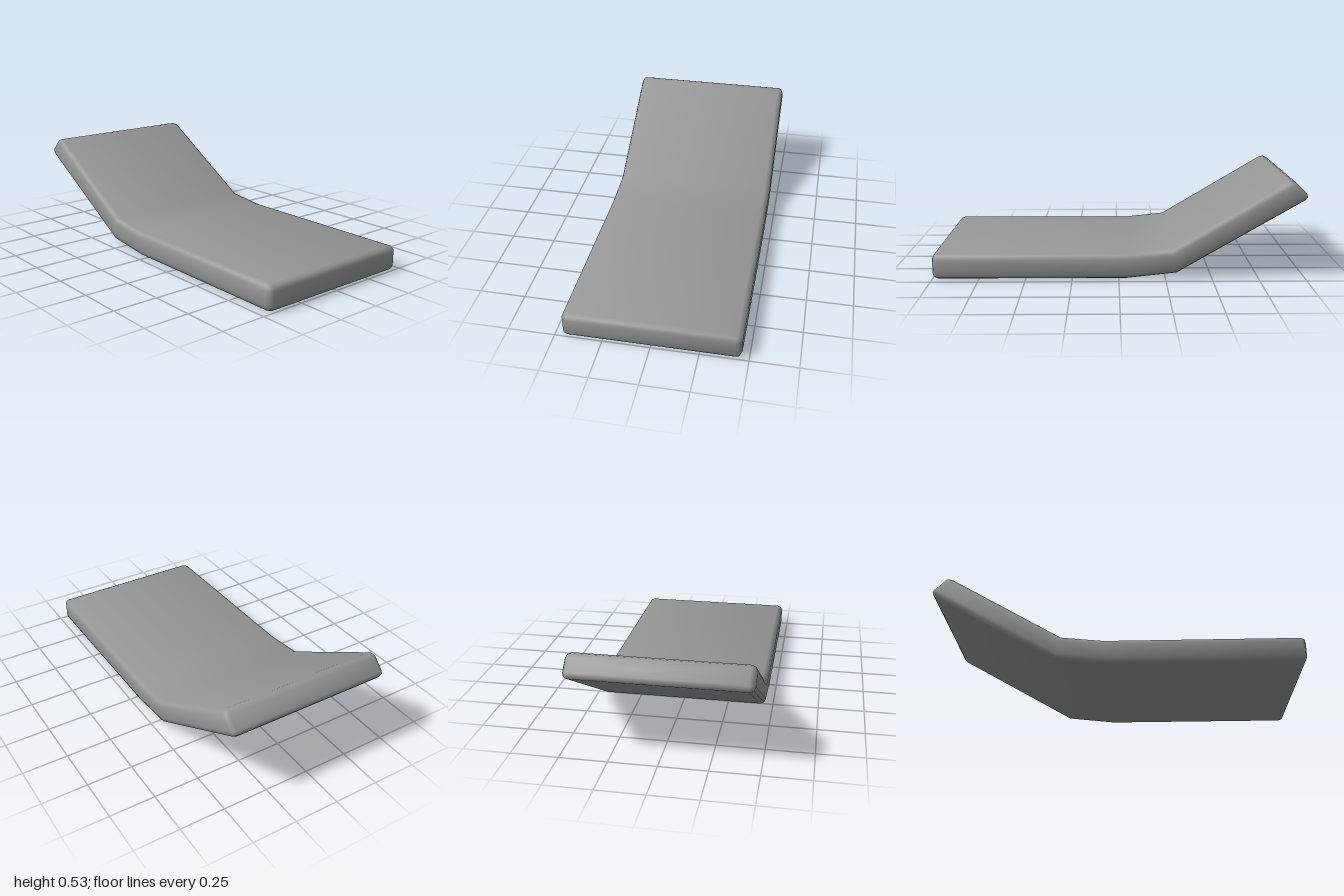
import * as THREE from 'three';
import { mergeVertices } from 'three/addons/utils/BufferGeometryUtils.js';

const HALF_WIDTH = 0.463;
const R = 0.03; // edge rounding

// Rounded rectangle, counter-clockwise: [x, distance up from the underside]
function section(height, inset) {
  const r = R - inset, w = HALF_WIDTH - inset;
  const points = [];
  for (const [sx, top, start] of [[1, 0, -90], [1, 1, 0], [-1, 1, 90], [-1, 0, 180]]) {
    const cx = sx * (w - r), cy = top ? height - R : R;
    for (let k = 0; k <= 2; k++) {
      const a = THREE.MathUtils.degToRad(start + k * 45);
      points.push([cx + r * Math.cos(a), cy + r * Math.sin(a)]);
    }
  }
  return points;
}

// Smooth normals, each face weighted by its corner angle for a soft, padded look
function softenNormals(geometry) {
  const position = geometry.attributes.position, index = geometry.index;
  const normals = Array.from({ length: position.count }, () => new THREE.Vector3());
  for (let f = 0; f < index.count; f += 3) {
    const ids = [0, 1, 2].map((k) => index.getX(f + k));
    const p = ids.map((i) => new THREE.Vector3().fromBufferAttribute(position, i));
    const faceNormal = new THREE.Triangle(...p).getNormal(new THREE.Vector3());
    if (faceNormal.lengthSq() < 0.5) continue;
    ids.forEach((id, k) => {
      const e1 = p[(k + 1) % 3].clone().sub(p[k]), e2 = p[(k + 2) % 3].clone().sub(p[k]);
      normals[id].addScaledVector(faceNormal, e1.angleTo(e2));
    });
  }
  const values = normals.flatMap((v) => v.normalize().toArray());
  geometry.setAttribute('normal', new THREE.Float32BufferAttribute(values, 3));
}

// Sweeps the section through stations given by underside and top points (z, y)
function bentSlab(under, top) {
  const last = under.length - 1;
  const rings = [];
  const addRing = (b, t, inset) => {
    const height = b.distanceTo(t);
    rings.push(section(height, inset).map(([x, h]) => {
      const p = b.clone().lerp(t, h / height);
      return [x, p.y, p.x];
    }));
  };
  // Rounded end: the section shrinks as it reaches the end face
  const addEnd = (i, neighbour, angles) => {
    const inward = under[neighbour].clone().sub(under[i]).normalize();
    for (const deg of angles) {
      const a = THREE.MathUtils.degToRad(deg);
      const shift = inward.clone().multiplyScalar(R * (1 - Math.sin(a)));
      addRing(under[i].clone().add(shift), top[i].clone().add(shift), R * (1 - Math.cos(a)));
    }
  };
  addEnd(0, 1, [90, 45, 0]);
  for (let i = 1; i < last; i++) addRing(under[i], top[i], 0);
  addEnd(last, last - 1, [0, 45, 90]);

  const n = rings[0].length;
  const positions = rings.flat(2);
  const index = [];
  for (let i = 0; i < rings.length - 1; i++) {
    for (let j = 0; j < n; j++) {
      const a = i * n + j, b = i * n + (j + 1) % n;
      index.push(a, a + n, b, b, a + n, b + n);
    }
  }
  // End faces
  for (const [i, front] of [[0, true], [rings.length - 1, false]]) {
    const centre = positions.length / 3;
    for (let c = 0; c < 3; c++) positions.push((rings[i][0][c] + rings[i][6][c]) / 2);
    for (let j = 0; j < n; j++) {
      const a = i * n + j, b = i * n + (j + 1) % n;
      index.push(centre, front ? a : b, front ? b : a);
    }
  }
  const geometry = new THREE.BufferGeometry();
  geometry.setAttribute('position', new THREE.Float32BufferAttribute(positions, 3));
  geometry.setIndex(index);
  const merged = mergeVertices(geometry, 1e-5);
  softenNormals(merged);
  return merged;
}

export function createModel() {
  const group = new THREE.Group();
  group.name = 'lounger';
  const toPoints = (list) => list.map(([z, y]) => new THREE.Vector2(z, y));

  // Flat seat, short bend and raised backrest in one padded slab
  const under = toPoints([[1, 0], [-0.04, 0], [-0.31, 0.03], [-1.013, 0.442]]);
  const top = toPoints([[1, 0.138], [-0.06, 0.138], [-0.285, 0.162], [-0.915, 0.539]]);
  const cushion = new THREE.Mesh(
    bentSlab(under, top),
    new THREE.MeshStandardMaterial({ color: 0x969696 })
  );
  cushion.name = 'cushion';
  group.add(cushion);
  return group;
}
